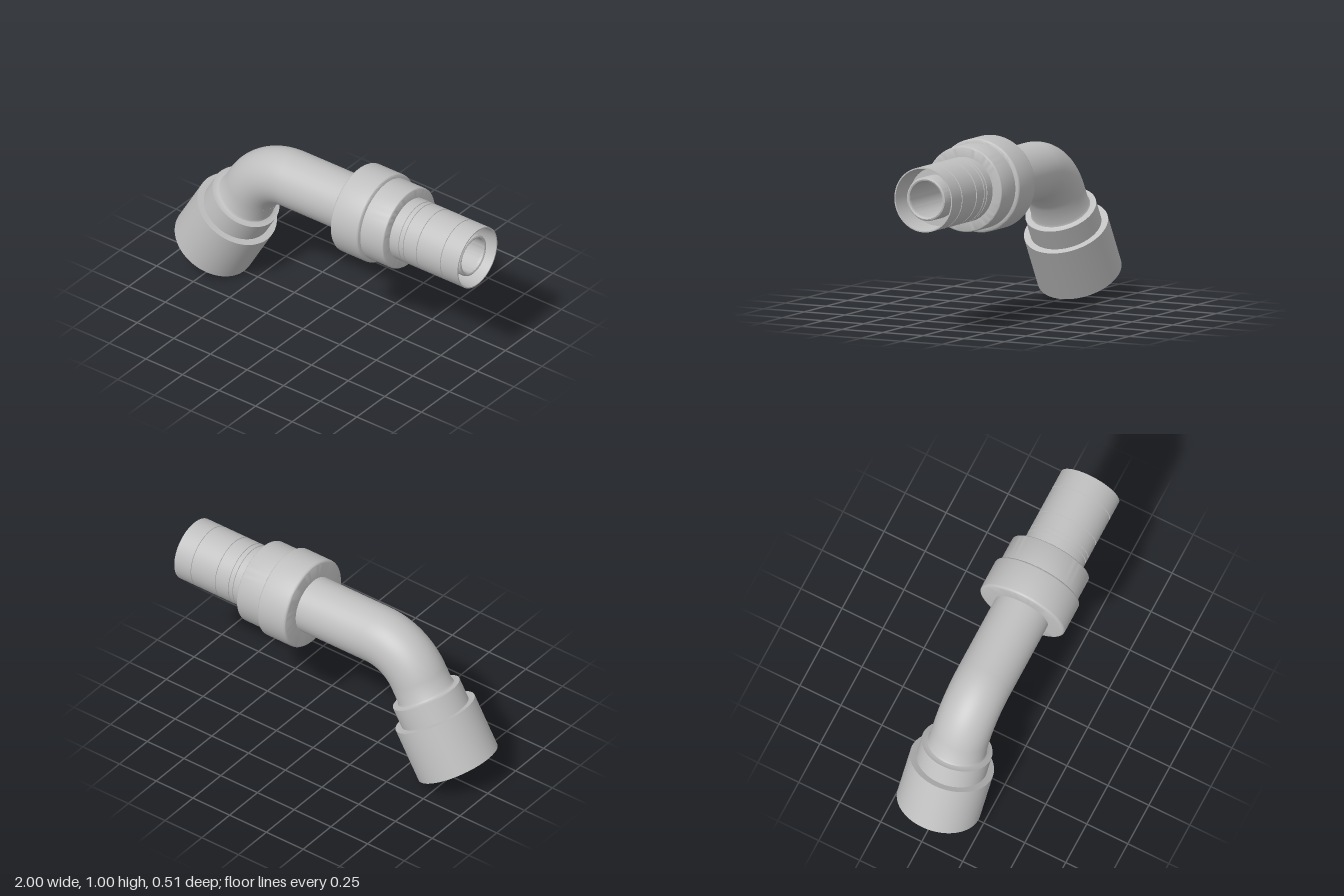
import * as THREE from 'three';
import { toCreasedNormals } from 'three/addons/utils/BufferGeometryUtils.js';

const AXIS_Y = 0.743, PIPE_R = 0.16, BORE_R = 0.1;
const BEND_R = 0.312, BEND_X = -0.256;

export function createModel() {
  const metal = new THREE.MeshStandardMaterial({ color: 0xc0c0c0, side: THREE.DoubleSide });
  metal.name = 'grey metal';
  const model = new THREE.Group();
  model.name = 'elbowFitting';

  function add(parent, name, geometry) {
    const mesh = new THREE.Mesh(geometry, metal);
    mesh.name = name;
    parent.add(mesh);
    return mesh;
  }
  // Turned part: [radius, distance along axis], outside first, then back along the inside
  function turned(parent, name, profile) {
    const points = profile.map(([r, t]) => new THREE.Vector2(r, t));
    return add(parent, name, toCreasedNormals(new THREE.LatheGeometry(points, 72), 0.6));
  }
  // Quarter-round corner of radius f between angles a0 and a1
  function round(r, t, f, a0, a1) {
    return Array.from({ length: 5 }, (_, i) => {
      const a = a0 + (a1 - a0) * i / 4;
      return [r + f * Math.cos(a), t + f * Math.sin(a)];
    });
  }
  const H = Math.PI / 2;

  // Horizontal run, its axis pointing along +x
  const run = new THREE.Group();
  run.name = 'horizontalRun';
  run.rotation.z = -H;
  run.position.y = AXIS_Y;
  model.add(run);

  turned(run, 'straightPipe', [[PIPE_R, BEND_X], [PIPE_R, 0.25]]);

  // Stepped nut with rounded rims
  turned(run, 'swivelNut', [
    [PIPE_R, 0.187],
    ...round(0.242, 0.202, 0.015, -H, 0),
    ...round(0.245, 0.366, 0.012, 0, H),
    [0.235, 0.38],
    ...round(0.225, 0.525, 0.01, 0, H),
    [0.17, 0.535],
  ]);

  // Outer sleeve with narrow grooves and a flared mouth
  const sleeve = [[0.178, 0.53]];
  for (const g of [0.6, 0.63, 0.72, 0.885]) {
    sleeve.push([0.178, g - 0.004], [0.174, g - 0.003], [0.174, g + 0.003], [0.178, g + 0.004]);
  }
  sleeve.push([0.178, 1], [0.171, 1], [0.16, 0.85], [0.11, 0.85]);
  turned(run, 'outerSleeve', sleeve);

  // Inner tube with a rounded lip; its bore runs back to the bend
  turned(run, 'innerTube', [
    [0.12, 0.84],
    ...round(0.109, 0.962, 0.011, 0, Math.PI),
    [BORE_R, 0.95], [BORE_R, BEND_X],
  ]);

  // Sixty-degree bend, outer skin and bore
  for (const [name, r] of [['bend', PIPE_R], ['bendBore', BORE_R]]) {
    const bend = add(model, name, new THREE.TorusGeometry(BEND_R, r, 72, 32, Math.PI / 3));
    bend.rotation.z = H;
    bend.position.set(BEND_X, AXIS_Y - BEND_R, 0);
  }

  // Sloping end, its axis rising towards the bend
  const end = new THREE.Group();
  end.name = 'slopingEnd';
  end.rotation.z = -Math.PI / 6;
  end.position.set(-0.797, 0.1175, 0);
  model.add(end);

  turned(end, 'socket', [
    [0.222, 0], [0.235, 0], [0.235, 0.312], [0.198, 0.312],
    [0.198, 0.433], [0.18, 0.433], [0.166, 0.438], [PIPE_R, 0.45], [PIPE_R, 0.542],
  ]);
  turned(end, 'socketInside', [[BORE_R, 0.542], [BORE_R, 0.29], [0.222, 0.29], [0.222, 0]]);

  return model;
}
